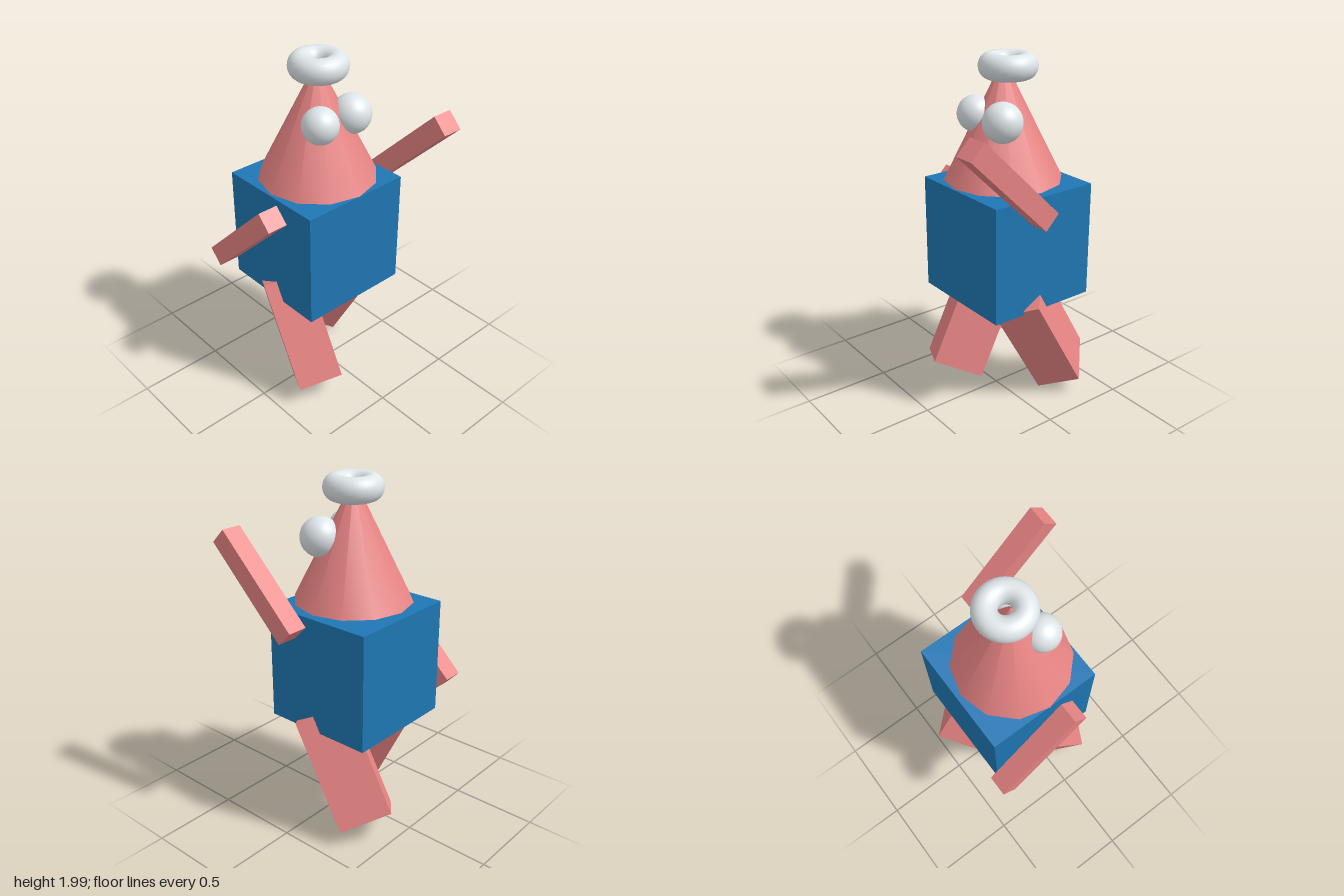
import * as THREE from 'three';

const DEG = Math.PI / 180;

export function createModel() {
  const model = new THREE.Group();
  model.name = 'blockFigure';

  const skin = new THREE.MeshStandardMaterial({ color: 0xe88484 });
  const openSkin = new THREE.MeshStandardMaterial({ color: 0xe88484, side: THREE.DoubleSide });
  const blue = new THREE.MeshStandardMaterial({ color: 0x1f77b4 });
  const white = new THREE.MeshStandardMaterial({ color: 0xdfe6e9 });

  const add = (name, geometry, material, position, tilt = 0, twist = 0) => {
    const mesh = new THREE.Mesh(geometry, material);
    mesh.name = name;
    mesh.position.set(...position);
    mesh.rotation.set(tilt * DEG, twist * DEG, 0); // twist about the long axis, then tilt
    model.add(mesh);
    return mesh;
  };

  // Cubic torso
  add('torso', new THREE.BoxGeometry(0.66, 0.665, 0.66), blue, [-0.005, 0.957, -0.08]);

  // Hollow cone head, open at the base
  add('head', new THREE.ConeGeometry(0.33, 0.66, 12, 1, true), openSkin, [-0.012, 1.64, -0.057]);

  // Ring hat lying flat on the tip
  const ring = new THREE.TorusGeometry(0.0975, 0.0635, 24, 48).rotateX(Math.PI / 2).scale(1, 1.09, 1);
  add('ringHat', ring, white, [0.01, 1.931, -0.072]);

  // Eyes, the left one slightly larger
  add('leftEye', new THREE.SphereGeometry(0.109, 32, 24), white, [0.128, 1.667, 0.056]);
  add('rightEye', new THREE.SphereGeometry(0.1, 32, 24), white, [-0.1, 1.673, 0.065]);

  // Arms, both swung forward and up
  const arm = new THREE.BoxGeometry(0.12, 0.66, 0.115);
  add('leftArm', arm, skin, [0.413, 1.437, 0.234], 45.5);
  add('rightArm', arm, skin, [-0.416, 1.005, -0.19], 46);

  // Striding legs, each twisted about its length
  const leg = new THREE.BoxGeometry(0.257, 0.66, 0.304);
  add('leftLeg', leg, skin, [0.198, 0.402, -0.174], 29.5, 42.3);
  add('rightLeg', leg, skin, [-0.214, 0.392, 0.006], -26.7, -28.5);

  return model;
}
